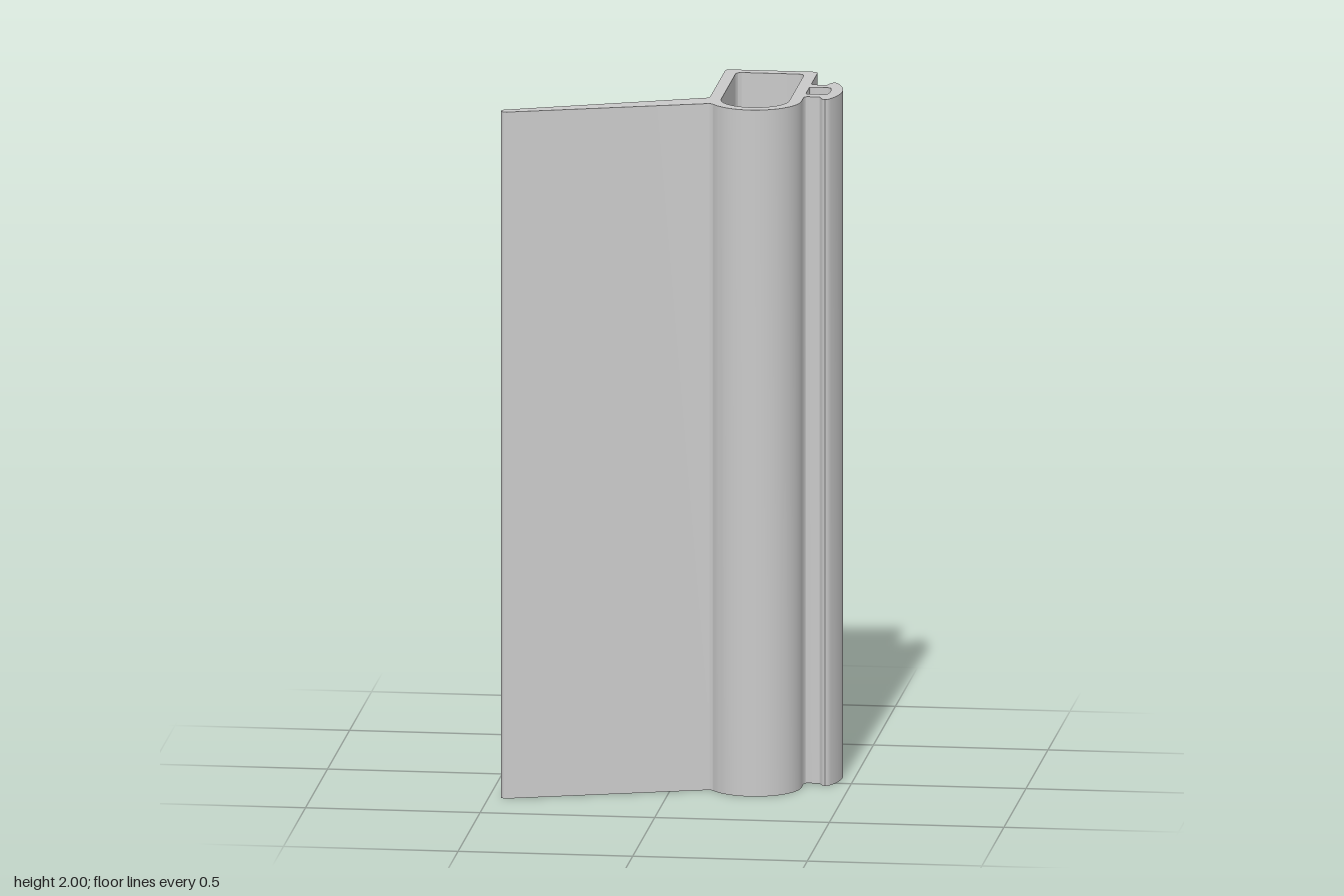
import * as THREE from 'three';
import { toCreasedNormals } from 'three/addons/utils/BufferGeometryUtils.js';

const LENGTH = 2;
const RAD = Math.PI / 180;

// Plan points are [x, z, corner radius]; arcs are sampled between two angles in degrees.
function arc(cx, cz, r, from, to, steps) {
  return Array.from({ length: steps + 1 }, (_, i) => {
    const a = (from + (to - from) * i / steps) * RAD;
    return [cx + r * Math.cos(a), cz + r * Math.sin(a), 0];
  });
}

// Replaces every corner that has a radius by a tangent arc.
function roundCorners(points, steps = 14) {
  const out = [];
  points.forEach(([x, z, r], i) => {
    const p = new THREE.Vector2(x, z);
    if (!r) { out.push(p); return; }
    const [ax, az] = points[(i + points.length - 1) % points.length];
    const [bx, bz] = points[(i + 1) % points.length];
    const u = new THREE.Vector2(ax - x, az - z).normalize();
    const v = new THREE.Vector2(bx - x, bz - z).normalize();
    const half = Math.acos(u.dot(v)) / 2;
    const centre = u.clone().add(v).normalize().multiplyScalar(r / Math.sin(half)).add(p);
    const start = u.multiplyScalar(r / Math.tan(half)).add(p).sub(centre);
    const end = v.multiplyScalar(r / Math.tan(half)).add(p).sub(centre);
    const sweep = Math.atan2(start.cross(end), start.dot(end));
    for (let k = 0; k <= steps; k++) {
      out.push(start.clone().rotateAround(new THREE.Vector2(), sweep * k / steps).add(centre));
    }
  });
  return out.map(p => new THREE.Vector2(p.x, -p.y)); // plan z runs against shape y
}

export function createModel() {
  const aluminium = new THREE.MeshStandardMaterial({ color: 0xcacaca });
  aluminium.name = 'lightGrey';

  const tubeX = 0.2335, tubeZ = 0.0665;             // centre of the round tube end
  const clipX = 0.2535, clipZ = -0.07, clipR = 0.2125; // centre of the clip's curved face
  const tipX = clipX + (clipR - 0.01) * Math.cos(29.5 * RAD);
  const tipDz = (clipR - 0.01) * Math.sin(29.5 * RAD);

  // Outer outline: tube, snap-on clip, round end, slanting fin
  const outline = roundCorners([
    [0.101, -0.311, 0.015], [0.366, -0.311, 0.015],
    [0.366, -0.147, 0.012], [0.411, -0.147, 0.008],
    ...arc(tipX, clipZ - tipDz, 0.01, 200, 330.5, 16),
    ...arc(clipX, clipZ, clipR, -29.5, 29.5, 16).slice(1, -1),
    ...arc(tipX, clipZ + tipDz, 0.01, 29.5, 160, 16),
    [0.411, 0.008, 0.008], [0.366, 0.008, 0.012],
    ...arc(tubeX, tubeZ, 0.1325, 0, 145, 28),
    [0.1152, 0.128, 0.015],
    ...arc(-0.45, 0.2952, 0.0163, 72, 248, 24),
    [0.101, 0.054, 0.014],
  ]);

  // Main chamber of the tube
  const chamber = roundCorners([
    [0.136, -0.276, 0.018], [0.331, -0.276, 0.018],
    ...arc(tubeX, tubeZ, 0.0975, 0, 180, 36),
  ]);

  // Small chamber behind the clip face
  const clipChamber = roundCorners([
    [0.366, -0.113, 0.006], [0.4265, -0.113, 0.009],
    ...arc(clipX, clipZ, 0.1785, -8, 8, 6),
    [0.4265, -0.027, 0.009], [0.366, -0.027, 0.006],
  ]);

  // Holes run against the outline so that their walls face inwards
  const shape = new THREE.Shape(outline);
  for (const hole of [chamber, clipChamber]) shape.holes.push(new THREE.Path(hole.reverse()));

  // Extrude the section upwards
  const geometry = new THREE.ExtrudeGeometry(shape, { depth: LENGTH, bevelEnabled: false });
  geometry.rotateX(-Math.PI / 2);
  const profile = new THREE.Mesh(toCreasedNormals(geometry, 35 * RAD), aluminium);
  profile.name = 'extrudedProfile';

  const model = new THREE.Group();
  model.name = 'hollowProfileWithFin';
  model.add(profile);
  return model;
}
